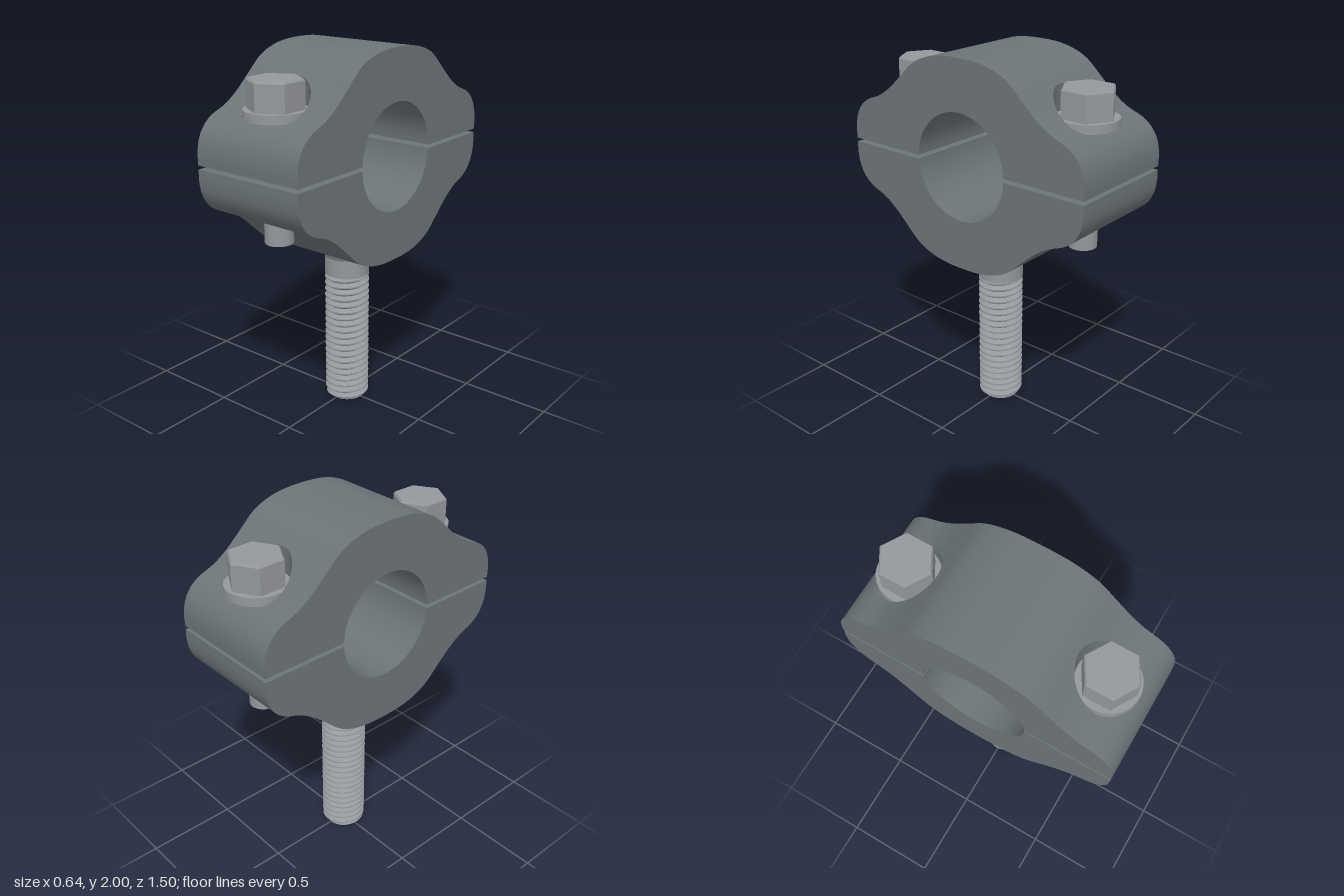
import * as THREE from 'three';
import { mergeGeometries, toCreasedNormals } from 'three/addons/utils/BufferGeometryUtils.js';

const HALF_W = 0.32, MID = 1.45, GAP = 0.01, BORE = 0.283;
const BOLT_Z = 0.535, POCKET_R = 0.165, POCKET_Y = 1.7;
const PATCH_IN = 0.34, PATCH_OUT = 0.72;

// Outer outline of one clamp half, as (z, y) from the crown to the split
const crown = [[0, 2], [0.13, 1.993], [0.22, 1.972], [0.3, 1.935], [0.4, 1.848], [0.47, 1.786],
  [0.55, 1.732], [0.655, 1.687], [0.705, 1.645], [0.738, 1.585], [0.75, 1.52], [0.75, MID + GAP]];
const mirrored = crown.slice(1).reverse().map(([z, y]) => [-z, y]);
const outline = new THREE.CatmullRomCurve3(
  [...mirrored, ...crown].map(([z, y]) => new THREE.Vector3(z, y, 0)), false, 'centripetal')
  .getPoints(176).map((p) => new THREE.Vector2(p.x, p.y));

// Height of the outline at a given z
function height(z) {
  for (let i = 1; i < outline.length; i++) {
    const a = outline[i - 1], b = outline[i];
    if (z >= a.x && z <= b.x && b.x > a.x) return a.y + (b.y - a.y) * (z - a.x) / (b.x - a.x);
  }
  return MID + GAP;
}

function indexed(positions, index) {
  const g = new THREE.BufferGeometry();
  g.setAttribute('position', new THREE.Float32BufferAttribute(positions, 3));
  g.setIndex(index);
  return g;
}

// Area of the sloping top around one bolt, with its round flat-bottomed pocket
function pocketPatch() {
  const zOut = PATCH_OUT - BOLT_Z, zIn = BOLT_Z - PATCH_IN;
  const angles = [];
  for (let i = 0; i < 96; i++) angles.push(i / 96 * Math.PI * 2);
  for (const x of [-HALF_W, HALF_W]) for (const z of [zOut, -zIn]) {
    angles.push((Math.atan2(z, x) + Math.PI * 2) % (Math.PI * 2));
  }
  angles.sort((a, b) => a - b);
  const FLOOR = 10, SLOPE = 8, n = angles.length, pos = [], index = [];
  for (let ring = 0; ring <= FLOOR + SLOPE + 1; ring++) {
    for (const a of angles) {
      const c = Math.cos(a), s = Math.sin(a);
      const edge = Math.min(HALF_W / Math.max(Math.abs(c), 1e-6),
        (s > 0 ? zOut : zIn) / Math.max(Math.abs(s), 1e-6));
      const inside = ring <= FLOOR;
      const r = inside ? POCKET_R * ring / FLOOR
        : POCKET_R + (edge - POCKET_R) * (ring - FLOOR - 1) / SLOPE;
      const z = BOLT_Z + r * s, y = height(z);
      pos.push(r * c, inside ? Math.min(y, POCKET_Y) : y, z);
    }
  }
  for (let i = 0; i <= FLOOR + SLOPE; i++) for (let j = 0; j < n; j++) {
    const k = (j + 1) % n, a = i * n + j, b = i * n + k;
    index.push(a, b, a + n, b, b + n, a + n);
  }
  return indexed(pos, index);
}

// One clamp half: a band swept across x, two side faces, and optional pockets
function clampHalf(pockets) {
  const loop = outline.slice();
  for (const z of [-PATCH_OUT, -PATCH_IN, PATCH_IN, PATCH_OUT]) {
    const at = loop.findIndex((p) => p.x > z);
    loop.splice(at, 0, new THREE.Vector2(z, height(z)));
  }
  const outer = loop.length, start = Math.asin(GAP / BORE);
  for (let i = 0; i <= 48; i++) {
    const a = start + (Math.PI - 2 * start) * i / 48;
    loop.push(new THREE.Vector2(BORE * Math.cos(a), MID + BORE * Math.sin(a)));
  }
  const pos = [], index = [];
  for (const p of loop) pos.push(-HALF_W, p.y, p.x, HALF_W, p.y, p.x);
  loop.forEach((p, i) => {
    const k = (i + 1) % loop.length, m = Math.abs(p.x + loop[k].x) / 2;
    if (pockets && i < outer - 1 && m > PATCH_IN && m < PATCH_OUT) return;
    index.push(2 * i, 2 * k, 2 * i + 1, 2 * k, 2 * k + 1, 2 * i + 1);
  });
  const parts = [indexed(pos, index)];
  for (const side of [-1, 1]) {
    parts.push(new THREE.ShapeGeometry(new THREE.Shape(loop))
      .rotateY(side * Math.PI / 2).translate(side * HALF_W, 0, 0));
  }
  if (pockets) parts.push(pocketPatch(), pocketPatch().rotateY(Math.PI));
  const plain = parts.map((g) => {
    g.deleteAttribute('normal');
    g.deleteAttribute('uv');
    return g.toNonIndexed();
  });
  return toCreasedNormals(mergeGeometries(plain), 0.5);
}

// Helical thread: a zigzag lathe lifted one pitch per turn and trimmed at both ends
function threadGeometry(length) {
  const pitch = 0.0375, points = [];
  for (let i = -1; i <= length / pitch + 1; i++) {
    for (const [r, f] of [[0.1, 0], [0.122, 0.38], [0.122, 0.56], [0.1, 0.94]]) {
      points.push(new THREE.Vector2(r, (i + f) * pitch));
    }
  }
  const SEG = 40, g = new THREE.LatheGeometry(points, SEG), p = g.attributes.position;
  for (let i = 0; i < p.count; i++) {
    const turn = Math.floor(i / points.length) / SEG;
    const y = THREE.MathUtils.clamp(p.getY(i) + pitch * turn, 0, length);
    const r = Math.hypot(p.getX(i), p.getZ(i)), k = Math.min(1, (0.1 + y) / r);
    p.setXYZ(i, p.getX(i) * k, y, p.getZ(i) * k);
  }
  return toCreasedNormals(g, 0.5);
}

export function createModel() {
  const model = new THREE.Group();
  model.name = 'splitClamp';
  const clampGrey = new THREE.MeshStandardMaterial({ color: 0x6c7478 });
  clampGrey.name = 'clampGrey';
  const steel = new THREE.MeshStandardMaterial({ color: 0x94979c });
  steel.name = 'steel';
  const flat = (g) => toCreasedNormals(g, 0.1);

  function add(name, geometry, material, parent = model, y = 0) {
    const mesh = new THREE.Mesh(geometry, material);
    mesh.name = name;
    mesh.position.y = y;
    parent.add(mesh);
    return mesh;
  }
  const rod = (r, y0, y1, seg = 40, top = r) =>
    new THREE.CylinderGeometry(top, r, y1 - y0, seg).translate(0, (y0 + y1) / 2, 0);

  // Clamp halves around the bore
  add('upperClamp', clampHalf(true), clampGrey);
  add('lowerClamp', clampHalf(false), clampGrey, model, 2 * MID).rotation.x = Math.PI;

  // Two bolts with washers and chamfered hex heads
  for (const side of [1, -1]) {
    const bolt = new THREE.Group();
    bolt.name = side > 0 ? 'frontBolt' : 'backBolt';
    bolt.position.z = side * BOLT_Z;
    add('boltShank', rod(0.073, 1.078, 1.72), steel, bolt);
    add('washer', rod(0.157, 1.701, 1.745, 48), steel, bolt);
    add('hexHead', flat(rod(0.142, 1.745, 1.88, 6)), steel, bolt);
    add('hexChamfer', flat(rod(0.142, 1.88, 1.89, 6, 0.134)), steel, bolt);
    model.add(bolt);
  }

  // Threaded stud below the clamp
  add('studNeck', rod(0.122, 0.853, 0.93), clampGrey);
  add('studCollar', rod(0.122, 0.75, 0.853), steel);
  add('studThread', threadGeometry(0.75), steel);
  add('studEnd', new THREE.CircleGeometry(0.1, 40).rotateX(Math.PI / 2), steel);
  return model;
}
